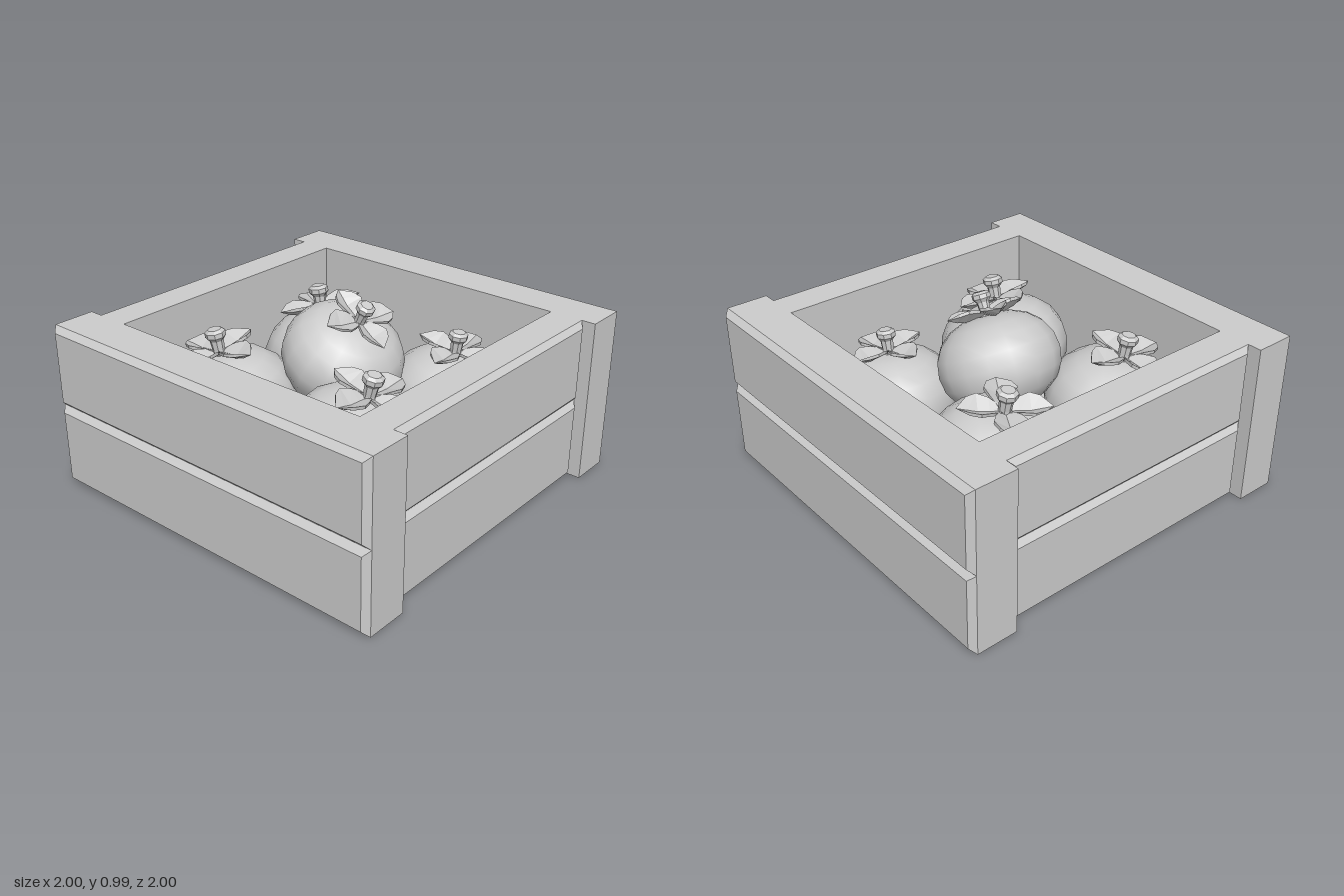
import * as THREE from 'three';

const grey = new THREE.MeshStandardMaterial({ color: 0xcccccc });
grey.name = 'plain grey';

function add(parent, geometry, name) {
  const mesh = new THREE.Mesh(geometry, grey);
  mesh.name = name;
  parent.add(mesh);
  return mesh;
}

function flat(geometry) {
  const g = geometry.toNonIndexed();
  g.computeVertexNormals();
  return g;
}

// Board whose +z face is bevelled on all four edges
function plankGeometry(w, h, d, inset, bevel) {
  const g = new THREE.BoxGeometry(w, h, d, 1, 1, 2);
  const p = g.attributes.position;
  for (let i = 0; i < p.count; i++) {
    const z = p.getZ(i);
    if (Math.abs(z) < 1e-6) p.setZ(i, d / 2 - bevel);
    else if (z > 0) {
      p.setX(i, Math.sign(p.getX(i)) * (w / 2 - inset));
      p.setY(i, Math.sign(p.getY(i)) * (h / 2 - inset));
    }
  }
  return flat(g);
}

// Cupped leaf along +x, lofted from six-point cross-sections
function leafGeometry() {
  // x, half width, middle height, edge height, thickness
  const rows = [
    [0.04, 0.07, 0.0, 0.03, 0.04],
    [0.2, 0.17, 0.0, 0.1, 0.05],
    [0.36, 0.23, 0.0, 0.13, 0.05],
    [0.5, 0.17, 0.03, 0.12, 0.05],
    [0.66, 0.0, 0.06, 0.06, 0.0],
  ];
  const pos = [], index = [];
  for (const [x, w, m, e, t] of rows) {
    pos.push(x, e, -w, x, m, 0, x, e, w, x, e - t, w, x, m - t, 0, x, e - t, -w);
  }
  for (let i = 0; i < rows.length - 1; i++) {
    for (let j = 0; j < 6; j++) {
      const a = i * 6 + j, b = i * 6 + (j + 1) % 6;
      index.push(a, b, a + 6, b, b + 6, a + 6);
    }
  }
  const g = new THREE.BufferGeometry();
  g.setAttribute('position', new THREE.Float32BufferAttribute(pos, 3));
  g.setIndex(index);
  return flat(g);
}

const vec = (list) => list.map(([x, y]) => new THREE.Vector2(x, y));

export function createModel() {
  const model = new THREE.Group();
  model.name = 'fruitCrate';

  // Crate walls: two stacked planks on each side
  const crate = new THREE.Group();
  crate.name = 'crate';
  model.add(crate);
  const endPlank = plankGeometry(2, 0.435, 0.25, 0.03, 0.03);
  const sidePlank = plankGeometry(1.5, 0.435, 0.2, 0.03, 0.025);
  const walls = [
    ['front', endPlank, 0.875], ['right', sidePlank, 0.85],
    ['back', endPlank, 0.875], ['left', sidePlank, 0.85],
  ];
  walls.forEach(([name, geometry, dist], k) => {
    const angle = -k * Math.PI / 2;
    for (const [level, y] of [['Lower', 0.2175], ['Upper', 0.6525]]) {
      const plank = add(crate, geometry, name + level + 'Plank');
      plank.rotation.y = angle;
      plank.position.set(Math.sin(angle) * dist, y, Math.cos(angle) * dist);
    }
  });
  add(crate, new THREE.BoxGeometry(1.5, 0.15, 1.5), 'floor').position.y = 0.075;

  // Unit-radius fruit parts
  const body = new THREE.LatheGeometry(vec([
    [0, -0.74], [0.3, -0.73], [0.6, -0.63], [0.83, -0.45], [0.96, -0.22], [1, 0.02],
    [0.96, 0.26], [0.84, 0.47], [0.64, 0.64], [0.4, 0.74], [0.18, 0.77], [0, 0.75],
  ]), 16);
  const leaf = leafGeometry();
  const stem = flat(new THREE.LatheGeometry(vec([
    [0.1, 0], [0.09, 0.1], [0.1, 0.24], [0.15, 0.3], [0.15, 0.37], [0.1, 0.41], [0, 0.41],
  ]), 8));

  // Fruits: centre, radius, lean in x and z, turn of the leaves in degrees
  const fruits = [
    [-0.4, 0.43, -0.365, 0.352, -0.15, 0.04, 62],
    [0.39, 0.41, -0.395, 0.33, 0.13, -0.02, 6],
    [-0.395, 0.43, 0.395, 0.352, -0.12, 0.11, 0],
    [0.405, 0.44, 0.35, 0.352, 0.23, -0.03, -2],
    [0, 0.65, -0.02, 0.318, 0.5, 0.03, -12],
  ];
  const up = new THREE.Vector3(0, 1, 0);
  fruits.forEach(([x, y, z, r, leanX, leanZ, turn], i) => {
    const fruit = new THREE.Group();
    fruit.name = 'fruit' + (i + 1);
    fruit.position.set(x, y, z);
    fruit.scale.setScalar(r);
    fruit.quaternion.setFromUnitVectors(up, new THREE.Vector3(leanX, 1, leanZ).normalize());
    add(fruit, body, 'fruitBody');
    add(fruit, stem, 'stem').position.y = 0.74;
    for (let k = 0; k < 4; k++) {
      const l = add(fruit, leaf, 'leaf');
      l.position.y = 0.8;
      l.rotation.y = THREE.MathUtils.degToRad(turn + 90 * k);
    }
    model.add(fruit);
  });
  return model;
}
